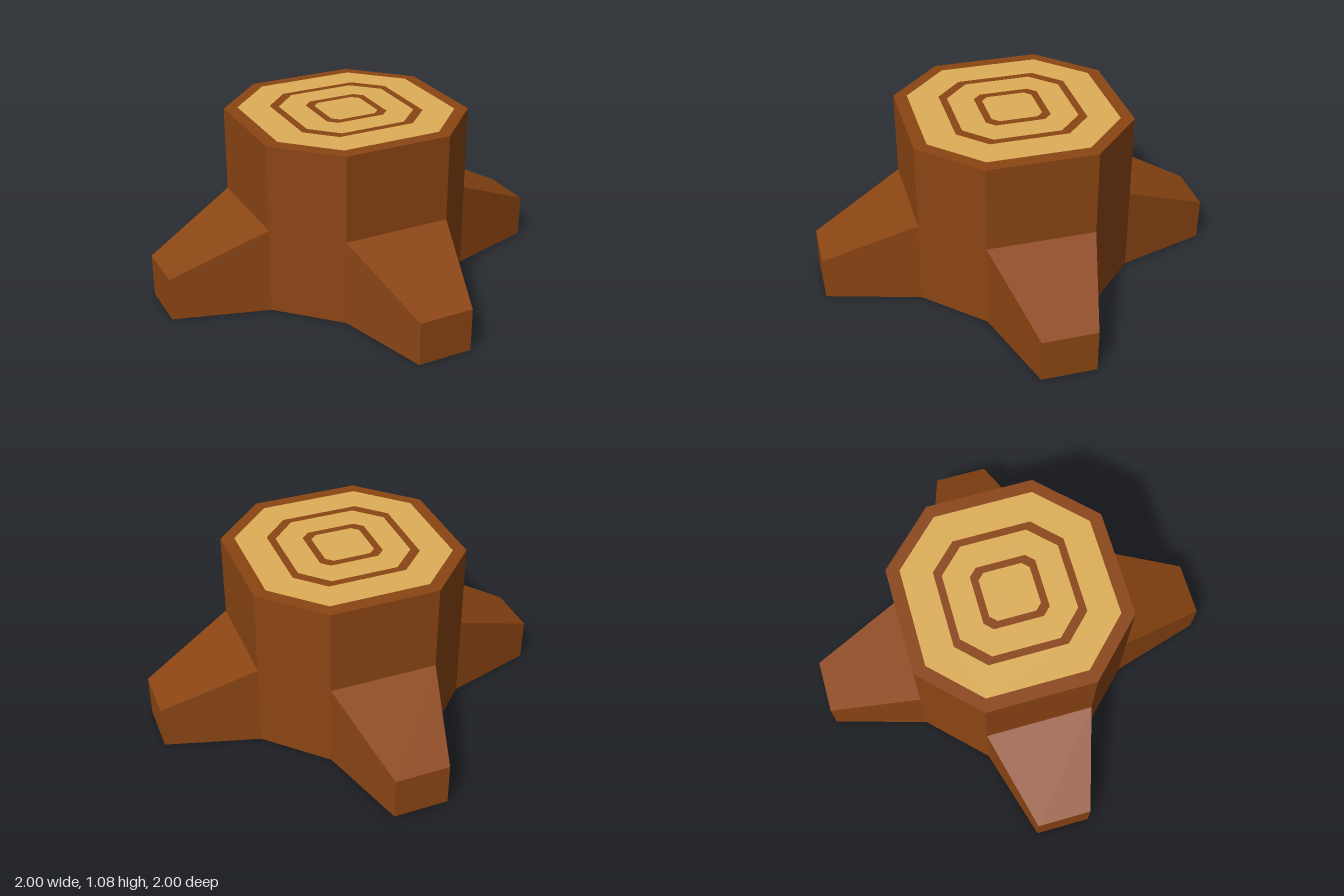
import * as THREE from 'three';

const bark = new THREE.MeshStandardMaterial({ color: 0x8b4513 });
bark.name = 'bark brown';
const wood = new THREE.MeshStandardMaterial({ color: 0xdeaf58 });
wood.name = 'cut wood tan';

const R = 0.712, C = 0.238;     // trunk octagon
const TOP = 1.075, JOIN = 0.538, TIP = 0.27;

// Octagon corners as [x, z]; r is the reach, c the half length of the straight sides
const octagon = (r, c) => [
  [r, -c], [r, c], [c, r], [-c, r], [-r, c], [-r, -c], [-c, -r], [c, -r],
];

// Flat-shaded geometry from convex faces, corners counter-clockwise seen from outside
function facesGeometry(faces) {
  const pos = [];
  for (const f of faces) {
    for (let i = 1; i < f.length - 1; i++) pos.push(...f[0], ...f[i], ...f[i + 1]);
  }
  const g = new THREE.BufferGeometry();
  g.setAttribute('position', new THREE.Float32BufferAttribute(pos, 3));
  g.computeVertexNormals();
  return g;
}

function add(group, name, geometry, material) {
  const mesh = new THREE.Mesh(geometry, material);
  mesh.name = name;
  group.add(mesh);
  return mesh;
}

// Octagonal trunk; its diagonal sides stop where the roots begin
function trunkGeometry() {
  const p = octagon(R, C);
  const faces = [
    p.map(([x, z]) => [x, TOP, z]).reverse(),
    p.map(([x, z]) => [x, 0, z]),
  ];
  p.forEach(([ax, az], i) => {
    const [bx, bz] = p[(i + 1) % 8];
    const low = i % 2 ? JOIN : 0;
    faces.push([[ax, low, az], [ax, TOP, az], [bx, TOP, bz], [bx, low, bz]]);
  });
  return facesGeometry(faces);
}

// Root flaring out from the +x +z diagonal side
function rootGeometry() {
  const a = [R, C], b = [C, R], c = [0.762, 1], d = [1, 0.762];
  const at = ([x, z], y) => [x, y, z];
  return facesGeometry([
    [at(a, JOIN), at(b, JOIN), at(c, TIP), at(d, TIP)],
    [at(d, 0), at(d, TIP), at(c, TIP), at(c, 0)],
    [at(c, 0), at(c, TIP), at(b, JOIN), at(b, 0)],
    [at(a, 0), at(a, JOIN), at(d, TIP), at(d, 0)],
    [at(a, 0), at(d, 0), at(c, 0), at(b, 0)],
  ]);
}

// Flat growth band between two octagons
function bandGeometry(outer, inner) {
  const points = (o) => octagon(...o).map(([x, z]) => new THREE.Vector2(x, z));
  const shape = new THREE.Shape(points(outer));
  if (inner) shape.holes.push(new THREE.Path(points(inner)));
  return new THREE.ShapeGeometry(shape).rotateX(-Math.PI / 2);
}

export function createModel() {
  const model = new THREE.Group();
  model.name = 'treeStump';
  add(model, 'trunk', trunkGeometry(), bark);

  const root = rootGeometry();
  for (let i = 0; i < 4; i++) {
    add(model, `root${i + 1}`, root, bark).rotation.y = i * Math.PI / 2;
  }

  // Light wood bands; the trunk top shows between them as dark rings
  const bands = [
    ['outerWoodBand', [0.637, 0.2], [0.457, 0.115]],
    ['middleWoodBand', [0.4, 0.108], [0.25, 0.035]],
    ['heartwood', [0.195, 0.028], null],
  ];
  for (const [name, outer, inner] of bands) {
    add(model, name, bandGeometry(outer, inner), wood).position.y = TOP + 0.003;
  }
  return model;
}
